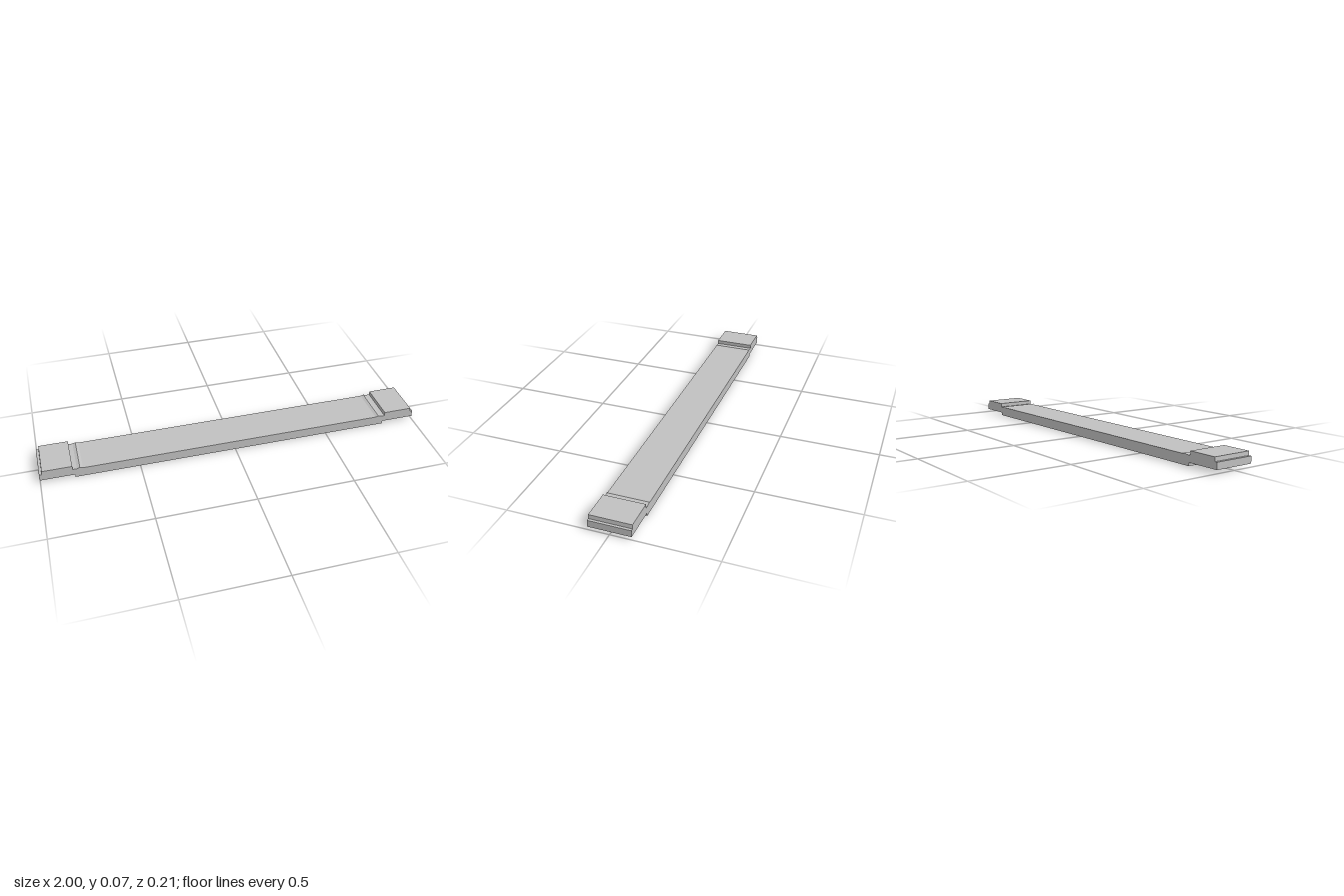
import * as THREE from 'three';

const DEPTH = 0.206;

export function createModel() {
  const group = new THREE.Group();
  group.name = 'steppedBeam';
  const grey = new THREE.MeshStandardMaterial({ color: 0xc0c0c0 });
  grey.name = 'light grey';

  // Right half of the side profile, from the bottom middle round to the top:
  // underside step, end lip, raised pad, then a low ridge beside the pad
  const half = [
    [0.828, 0], [0.828, 0.016], [1, 0.016], [1, 0.05],
    [0.987, 0.05], [0.985, 0.07], [0.836, 0.07], [0.836, 0.05],
    [0.815, 0.05], [0.8, 0.055], [0.785, 0.05],
  ];
  const mirrored = half.map(([x, y]) => [-x, y]).reverse();
  const outline = [...half, ...mirrored].map(([x, y]) => new THREE.Vector2(x, y));

  // Beam with both stepped ends, extruded across its width
  const geometry = new THREE.ExtrudeGeometry(new THREE.Shape(outline), {
    depth: DEPTH,
    bevelEnabled: false,
  });
  geometry.translate(0, 0, -DEPTH / 2);
  const beam = new THREE.Mesh(geometry, grey);
  beam.name = 'beam';
  group.add(beam);

  return group;
}
